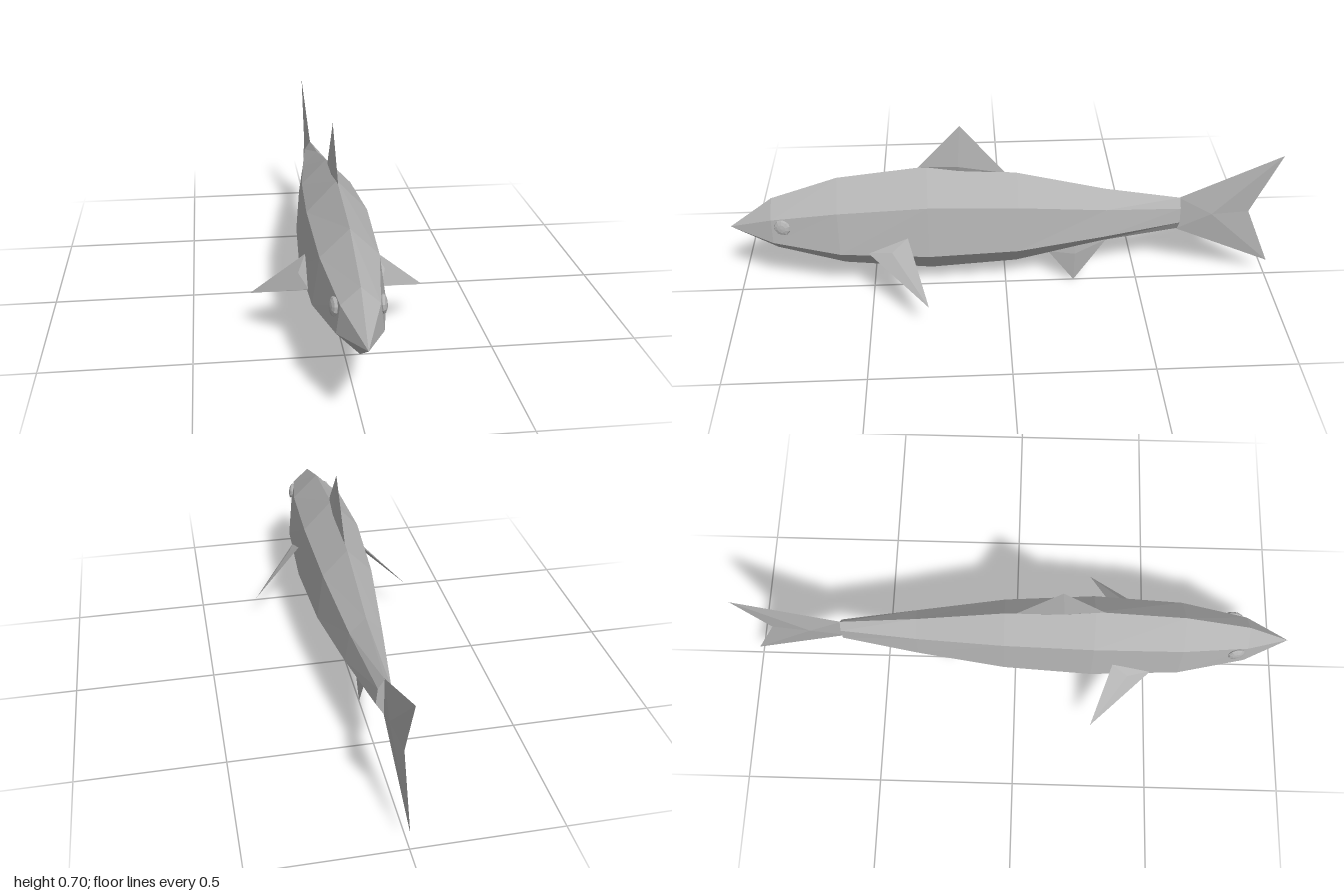
import * as THREE from 'three';

const grey = new THREE.MeshStandardMaterial({ color: 0xb3b3b3, flatShading: true });
grey.name = 'fish grey';

function facetMesh(points, name) {
  const geometry = new THREE.BufferGeometry().setFromPoints(points);
  geometry.computeVertexNormals();
  const mesh = new THREE.Mesh(geometry, grey);
  mesh.name = name;
  return mesh;
}

const v = (x, y, z) => new THREE.Vector3(x, y, z);

// Body: a six-sided hull lofted from the nose to the tail stem
function body() {
  // z, top y, upper x, upper y, lower x, lower y, bottom y
  const stations = [
    [0.84, 0.42, 0.06, 0.365, 0.072, 0.273, 0.2],
    [0.6, 0.5, 0.094, 0.408, 0.118, 0.246, 0.12],
    [0.28, 0.537, 0.103, 0.428, 0.129, 0.232, 0.083],
    [-0.04, 0.5, 0.089, 0.408, 0.111, 0.232, 0.105],
    [-0.36, 0.42, 0.056, 0.364, 0.072, 0.257, 0.185],
    [-0.64, 0.37, 0.022, 0.336, 0.028, 0.278, 0.232],
  ];
  const rings = stations.map(([z, top, ux, uy, lx, ly, bottom]) => [
    v(0, top, z), v(-ux, uy, z), v(-lx, ly, z),
    v(0, bottom, z), v(lx, ly, z), v(ux, uy, z),
  ]);
  const nose = v(0, 0.3, 1);
  const stem = v(0, 0.3, -0.64);
  const points = [];
  for (let i = 0; i < 6; i++) {
    const j = (i + 1) % 6;
    points.push(nose, rings[0][i], rings[0][j]);
    for (let k = 0; k + 1 < rings.length; k++) {
      const a = rings[k], b = rings[k + 1];
      points.push(a[i], b[i], b[j], a[i], b[j], a[j]);
    }
    points.push(stem, rings.at(-1)[j], rings.at(-1)[i]);
  }
  return facetMesh(points, 'body');
}

// Fin: a thin outline swelling to a raised point on both faces
function fin(name, outline, centre, bulge) {
  const points = [];
  for (const sign of [1, -1]) {
    const out = bulge.clone().multiplyScalar(sign);
    const peak = centre.clone().add(out);
    outline.forEach((p, i) => {
      const q = outline[(i + 1) % outline.length];
      const normal = p.clone().sub(peak).cross(q.clone().sub(peak));
      points.push(peak, ...(normal.dot(out) > 0 ? [p, q] : [q, p]));
    });
  }
  return facetMesh(points, name);
}

export function createModel() {
  const fish = new THREE.Group();
  fish.name = 'fish';
  fish.add(body());

  // Fins on the centre line
  fish.add(fin('dorsalFin',
    [v(0, 0.535, 0.31), v(0, 0.7, 0.16), v(0, 0.5, 0), v(0, 0.5, 0.16)],
    v(0, 0.54, 0.17), v(0.013, 0, 0)));
  fish.add(fin('analFin',
    [v(0, 0.14, -0.16), v(0, 0, -0.26), v(0, 0.187, -0.375), v(0, 0.2, -0.26)],
    v(0, 0.13, -0.26), v(0.008, 0, 0)));
  fish.add(fin('tailFin',
    [v(0, 0.37, -0.635), v(0, 0.54, -1), v(0, 0.3, -0.9), v(0, 0.065, -1), v(0, 0.23, -0.635)],
    v(0, 0.3, -0.76), v(0.012, 0, 0)));

  for (const side of [1, -1]) {
    const label = side > 0 ? 'left' : 'right';

    // Side fins sweep out, down and back
    const front = v(0.118 * side, 0.25, 0.5);
    const back = v(0.116 * side, 0.31, 0.355);
    const tip = v(0.3 * side, 0.14, 0.285);
    const centre = front.clone().lerp(back, 0.5).lerp(tip, 0.12);
    const bulge = back.clone().sub(front).cross(tip.clone().sub(front)).setLength(0.008);
    fish.add(fin(label + 'PectoralFin', [front, back, tip], centre, bulge));

    // Flattened eyes lying against the head
    const eye = new THREE.Mesh(new THREE.SphereGeometry(0.031, 10, 6).rotateZ(Math.PI / 2), grey);
    eye.name = label + 'Eye';
    eye.scale.x = 0.4;
    eye.position.set(0.074 * side, 0.342, 0.8);
    eye.rotation.set(0, -0.2 * side, 0.12 * side);
    fish.add(eye);
  }
  return fish;
}
